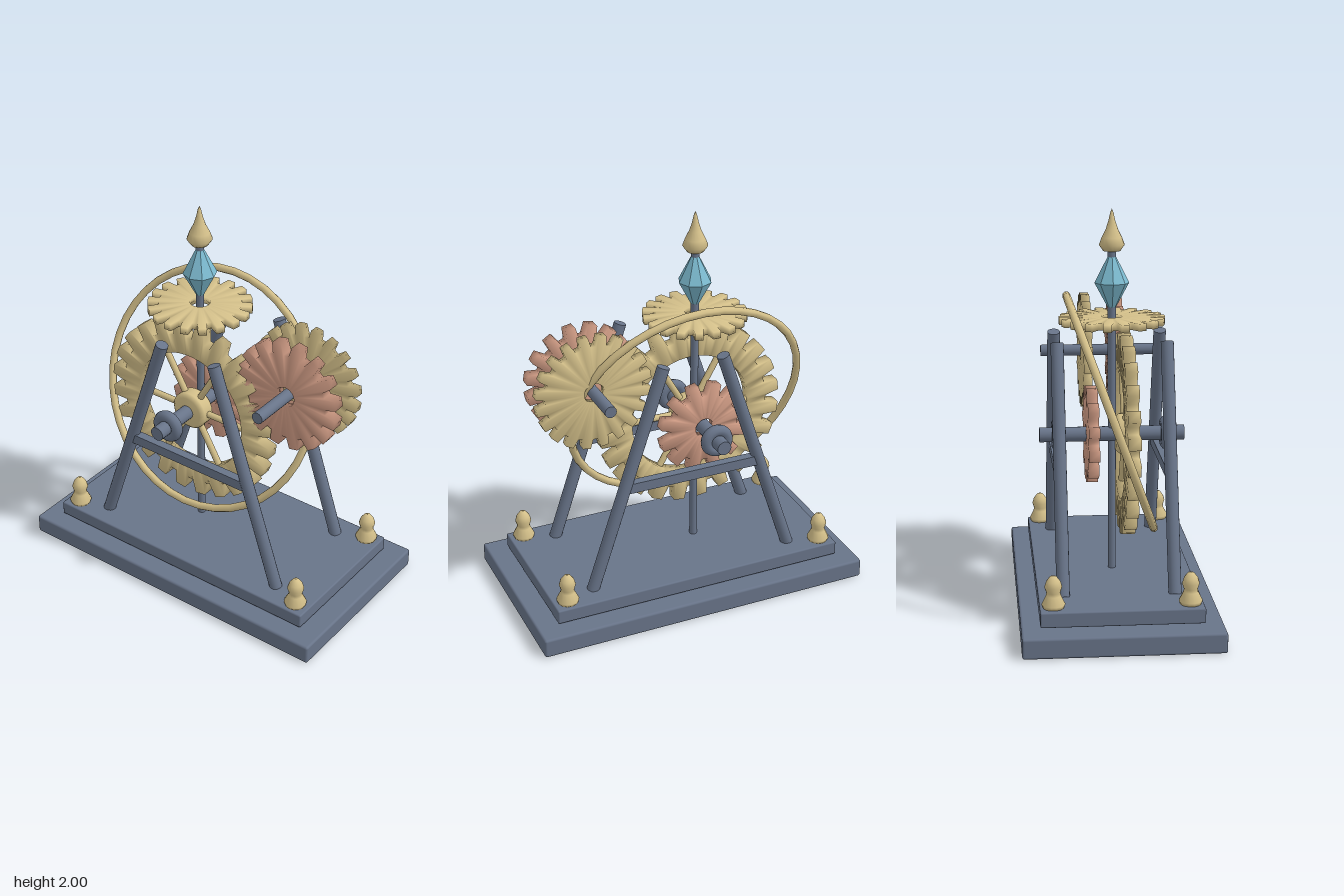
import * as THREE from 'three';
import { RoundedBoxGeometry } from 'three/addons/geometries/RoundedBoxGeometry.js';

const material = (name, color, extra = {}) => {
  const m = new THREE.MeshStandardMaterial({ color, ...extra });
  m.name = name;
  return m;
};

// Toothed ring in the XY plane with shared, smooth normals
function gearGeometry(teeth, tip, root, hole, thickness) {
  const tooth = [[0.15, root], [0.28, tip], [0.72, tip], [0.85, root]];
  const positions = [], index = [], h = thickness / 2;
  for (let i = 0; i < teeth; i++) {
    for (const [f, r] of tooth) {
      const a = ((i + f) / teeth) * Math.PI * 2, c = Math.cos(a), s = Math.sin(a);
      for (const [q, z] of [[hole, h], [r, h], [r, -h], [hole, -h]]) positions.push(q * c, q * s, z);
    }
  }
  const n = teeth * tooth.length;
  for (let j = 0; j < n; j++) {
    for (let k = 0; k < 4; k++) {
      const k2 = (k + 1) % 4, a = j * 4, b = ((j + 1) % n) * 4;
      index.push(a + k, a + k2, b + k2, a + k, b + k2, b + k);
    }
  }
  const g = new THREE.BufferGeometry();
  g.setAttribute('position', new THREE.Float32BufferAttribute(positions, 3));
  g.setIndex(index);
  g.computeVertexNormals();
  return g;
}

const lathe = (points, sides) =>
  new THREE.LatheGeometry(points.map(([r, y]) => new THREE.Vector2(r, y)), sides);

export function createModel() {
  const model = new THREE.Group();
  const slate = material('slate metal', 0x687489);
  const brass = material('brass', 0xd4c08a);
  const copper = material('copper', 0xd09c85);
  const crystalBlue = material('crystal blue', 0x7cbacf, { flatShading: true });

  const add = (name, geometry, mat, x = 0, y = 0, z = 0) => {
    const mesh = new THREE.Mesh(geometry, mat);
    mesh.name = name;
    mesh.position.set(x, y, z);
    model.add(mesh);
    return mesh;
  };
  // Round bar between two points
  const rod = (name, from, to, radius, mat, sides = 16) => {
    const a = new THREE.Vector3(...from), b = new THREE.Vector3(...to);
    const mesh = add(name, new THREE.CylinderGeometry(radius, radius, a.distanceTo(b), sides), mat);
    mesh.position.copy(a).add(b).multiplyScalar(0.5);
    mesh.quaternion.setFromUnitVectors(new THREE.Vector3(0, 1, 0), b.sub(a).normalize());
    return mesh;
  };

  // Stepped base
  add('lowerBase', new RoundedBoxGeometry(1.76, 0.1, 0.96, 2, 0.012), slate, 0, 0.053, 0);
  add('upperBase', new RoundedBoxGeometry(1.55, 0.075, 0.78, 2, 0.008), slate, 0, 0.153, 0);

  // Corner finials
  const cornerProfile = [[0, 0.19], [0.05, 0.19], [0.057, 0.208], [0.036, 0.25], [0.033, 0.265],
    [0.042, 0.293], [0.034, 0.32], [0.016, 0.344], [0, 0.346]];
  for (const x of [-0.7, 0.7]) {
    for (const z of [-0.325, 0.325]) add('cornerFinial', lathe(cornerProfile, 14), brass, x, 0, z);
  }

  // A-frames, front and back, with axle collars
  const cx = -0.13, cy = 0.885;
  for (const z of [-0.27, 0.27]) {
    for (const s of [-1, 1]) rod('frameLeg', [s * 0.545, 0.185, z], [s * 0.157, 1.35, z], 0.032, slate);
    add('crossBar', new THREE.BoxGeometry(0.74, 0.052, 0.045), slate, 0, 0.73, z);
    add('axleCollar', new THREE.TorusGeometry(0.055, 0.03, 10, 24), slate, cx, cy, z);
  }

  // Axles
  const ux = 0.452, uy = 1.197;
  rod('mainAxle', [cx, cy, -0.36], [cx, cy, 0.36], 0.037, slate);
  rod('upperAxle', [ux, uy, -0.325], [ux, uy, 0.325], 0.03, slate);

  // Main wheel: toothed rim, spokes and hub
  const wz = 0.066;
  add('mainGearRim', gearGeometry(24, 0.5, 0.425, 0.325, 0.062), brass, cx, cy, wz);
  for (let i = 0; i < 6; i++) {
    const a = (i * Math.PI) / 3, r = 0.345;
    rod('mainGearSpoke', [cx, cy, wz], [cx + r * Math.cos(a), cy + r * Math.sin(a), wz], 0.017, brass, 8);
  }
  const hub = add('mainGearHub', lathe([[0, -0.05], [0.08, -0.05], [0.1, -0.03], [0.1, 0.03],
    [0.08, 0.05], [0, 0.05]], 24), brass, cx, cy, wz);
  hub.rotation.x = Math.PI / 2;

  // Smaller gears
  add('pinionGear', gearGeometry(12, 0.24, 0.18, 0.05, 0.055), copper, cx, cy, -0.103);
  add('upperFrontGear', gearGeometry(16, 0.29, 0.23, 0.052, 0.062), copper, ux, uy, 0.066);
  add('upperBackGear', gearGeometry(20, 0.3, 0.25, 0.052, 0.045), brass, ux, uy, -0.094);
  const crown = add('crownGear', gearGeometry(18, 0.26, 0.205, 0.05, 0.036), brass, cx, 1.457, 0);
  crown.rotation.x = -Math.PI / 2;

  // Tilted hoop
  const hoop = add('tiltedHoop', new THREE.TorusGeometry(0.617, 0.02, 8, 40), brass, -0.082, 0.985, -0.005);
  hoop.rotation.x = -0.35;

  // Central mast, crystal and top finial
  rod('mast', [cx, 0.185, 0], [cx, 1.81, 0], 0.02, slate);
  add('crystal', lathe([[0, 1.515], [0.018, 1.515], [0.085, 1.64], [0.018, 1.772], [0, 1.772]], 8),
    crystalBlue, cx, 0, 0);
  add('topFinial', lathe([[0, 1.795], [0.042, 1.795], [0.063, 1.825], [0.05, 1.86], [0.03, 1.9],
    [0.017, 1.94], [0.008, 1.98], [0, 2]], 16), brass, cx, 0, 0);

  return model;
}
